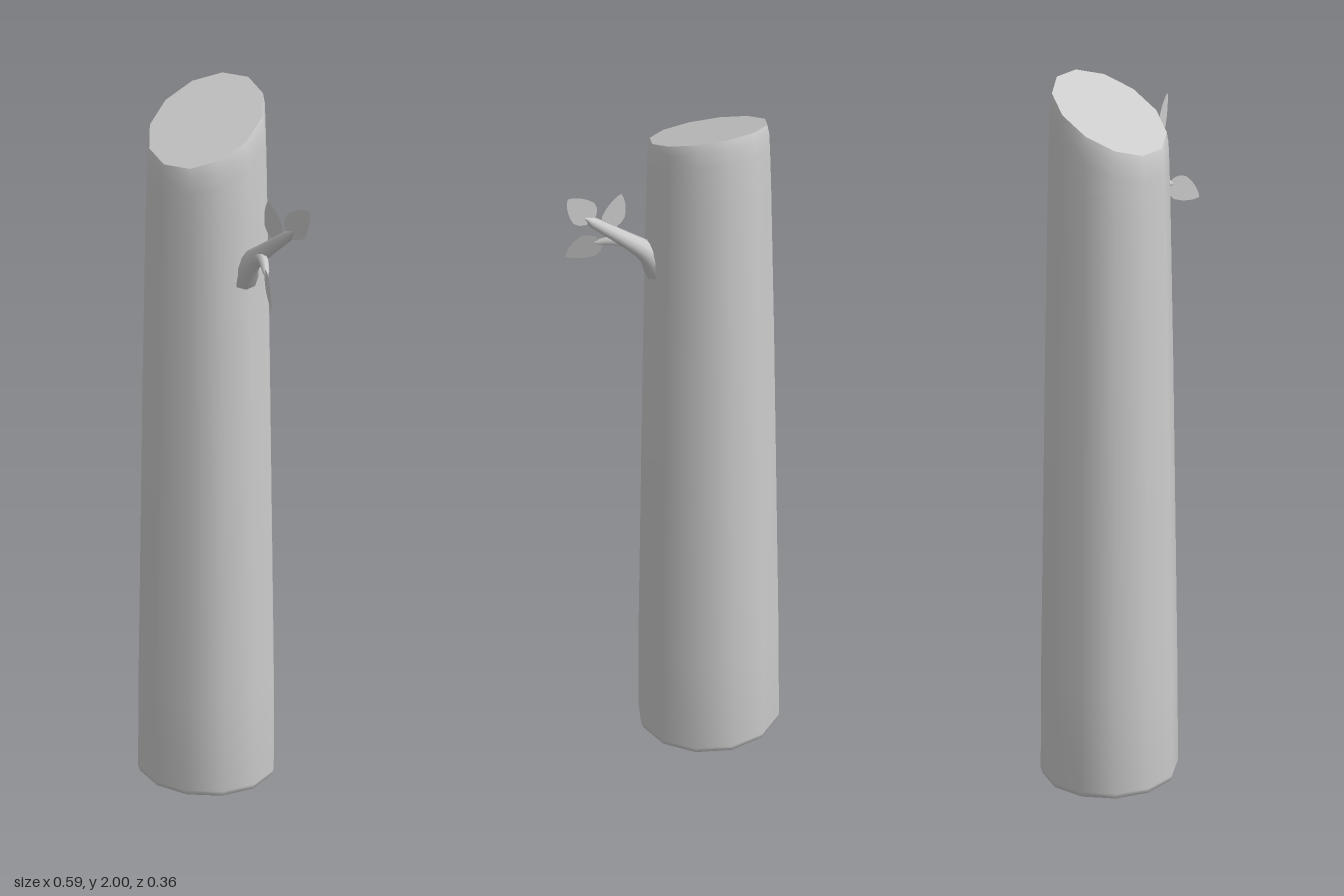
import * as THREE from 'three';

const SIDES = 12, CX = -0.107, DEPTH = 0.95;
const V = (x, y, z) => new THREE.Vector3(x, y, z);
const material = new THREE.MeshStandardMaterial({ color: 0xcccccc });
const leafMaterial = new THREE.MeshStandardMaterial({ color: 0xcccccc, side: THREE.DoubleSide });

function add(group, name, geometry, mat = material) {
  const mesh = new THREE.Mesh(geometry, mat);
  mesh.name = name;
  group.add(mesh);
  return mesh;
}

// Height of the slanted cut at depth z
const cutHeight = (z) => 1.922 - 0.51 * z;

// Tube whose rings shrink by radii listed evenly along the path
function taperedTube(points, radii, steps = 12, sides = 10) {
  const curve = new THREE.CatmullRomCurve3(points);
  const geometry = new THREE.TubeGeometry(curve, steps, 1, sides);
  const pos = geometry.attributes.position, p = V(0, 0, 0);
  for (let i = 0; i < pos.count; i++) {
    const t = Math.floor(i / (sides + 1)) / steps;
    const f = t * (radii.length - 1), k = Math.min(Math.floor(f), radii.length - 2);
    const r = THREE.MathUtils.lerp(radii[k], radii[k + 1], f - k);
    const c = curve.getPointAt(t);
    p.fromBufferAttribute(pos, i).sub(c).multiplyScalar(r).add(c);
    pos.setXYZ(i, p.x, p.y, p.z);
  }
  return geometry;
}

// Pointed leaf from base to tip, its blade held upright
function leafGeometry(base, tip, width) {
  const length = base.distanceTo(tip), w = width / 2;
  const shape = new THREE.Shape();
  shape.moveTo(0, 0);
  shape.bezierCurveTo(w * 0.7, 0, w * 1.25, length * 0.3, w * 0.85, length * 0.55);
  shape.quadraticCurveTo(w * 0.55, length * 0.85, 0, length);
  shape.quadraticCurveTo(-w * 0.55, length * 0.85, -w * 0.85, length * 0.55);
  shape.bezierCurveTo(-w * 1.25, length * 0.3, -w * 0.7, 0, 0, 0);
  const geometry = new THREE.ShapeGeometry(shape, 4);
  const along = tip.clone().sub(base).normalize();
  const normal = V(along.x, 0, along.z).normalize().cross(V(0, 1, 0));
  const across = along.clone().cross(normal);
  geometry.applyMatrix4(new THREE.Matrix4().makeBasis(across, along, normal).setPosition(base));
  return geometry;
}

export function createModel() {
  const group = new THREE.Group();

  // Trunk wall: tapered, softened at both ends, with its top sheared
  const profile = [
    [0.184, 0], [0.19, 0.008], [0.189, 0.15], [0.183, 0.4], [0.177, 0.65],
    [0.169, 0.9], [0.166, 0.96], [0.164, 0.985], [0.159, 1],
  ].map(([r, y]) => new THREE.Vector2(r, y));
  const wall = new THREE.LatheGeometry(profile, SIDES);
  const pos = wall.attributes.position;
  for (let i = 0; i < pos.count; i++) {
    const z = pos.getZ(i) * DEPTH;
    pos.setXYZ(i, pos.getX(i) + CX, pos.getY(i) * cutHeight(z), z);
  }
  add(group, 'trunk', wall);

  // Slanted cut face
  const cut = new THREE.CircleGeometry(0.159, SIDES).rotateX(-Math.PI / 2).scale(1, 1, DEPTH);
  const cp = cut.attributes.position;
  for (let i = 0; i < cp.count; i++) cp.setY(i, cutHeight(cp.getZ(i)));
  cut.translate(CX, 0, 0).computeVertexNormals();
  add(group, 'cutFace', cut);

  // Underside
  const base = new THREE.CircleGeometry(0.184, SIDES).rotateX(Math.PI / 2).scale(1, 1, DEPTH);
  add(group, 'trunkBase', base.translate(CX, 0, 0));

  // Branch, flared where it leaves the trunk and rounded at its tip
  add(group, 'branch', taperedTube(
    [V(0.03, 1.52, 0), V(0.075, 1.578, 0), V(0.14, 1.638, 0), V(0.243, 1.728, 0)],
    [0.05, 0.037, 0.03, 0.026, 0.023, 0.021, 0.019, 0.018, 0.016, 0.014, 0], 20));

  // Side twig reaching forward
  add(group, 'twig', taperedTube(
    [V(0.1, 1.605, 0), V(0.145, 1.61, 0.025), V(0.195, 1.592, 0.058)],
    [0.02, 0.017, 0.014, 0.013, 0.011, 0.009, 0], 12, 8));

  // Leaves and the short stalk of the one on the branch
  add(group, 'leafStalk', taperedTube(
    [V(0.165, 1.65, 0), V(0.168, 1.665, 0), V(0.166, 1.685, 0)], [0.005, 0.004, 0.002], 4, 6));
  const leaves = [
    ['middleLeaf', V(0.172, 1.672, 0.001), V(0.138, 1.778, 0.003), 0.07],
    ['tipLeaf', V(0.218, 1.708, 0.004), V(0.292, 1.805, -0.005), 0.08],
    ['twigLeaf', V(0.178, 1.602, 0.05), V(0.26, 1.533, 0.1), 0.07],
  ];
  for (const [name, from, to, width] of leaves) {
    add(group, name, leafGeometry(from, to, width), leafMaterial);
  }
  return group;
}
